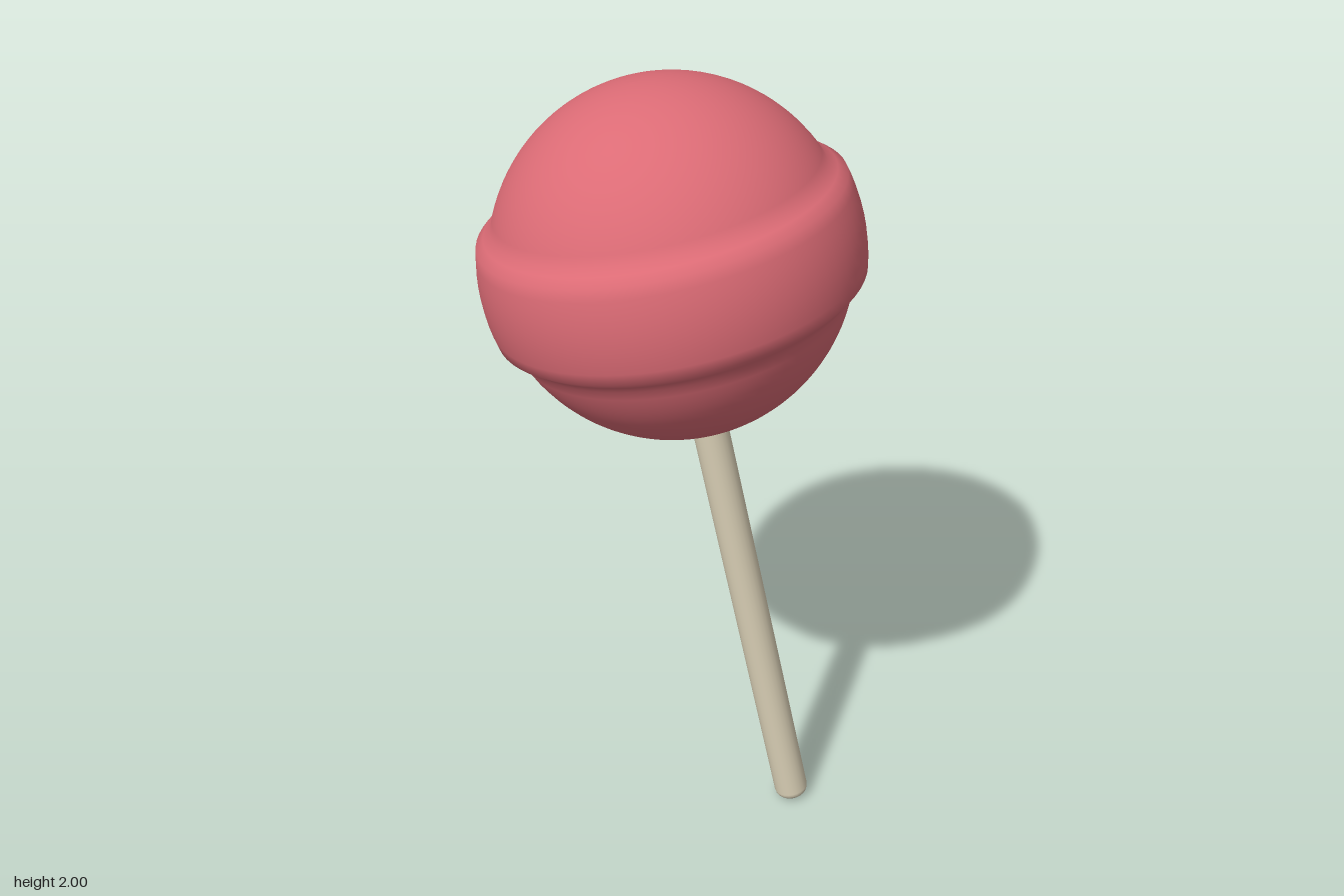
import * as THREE from 'three';

const candyRed = new THREE.MeshStandardMaterial({ color: 0xdb6b75 });
candyRed.name = 'candy red';
const paperCream = new THREE.MeshStandardMaterial({ color: 0xdad0b6 });
paperCream.name = 'paper cream';

const R = 0.421, BAND_R = 0.449; // ball and raised band radii

// points on an arc about the candy centre, between two elevation angles
function arc(radius, from, to, steps) {
  const pts = [];
  for (let i = 0; i <= steps; i++) {
    const a = from + (to - from) * i / steps;
    pts.push(new THREE.Vector2(Math.max(0, radius * Math.cos(a)), radius * Math.sin(a)));
  }
  return pts;
}

export function createModel() {
  const model = new THREE.Group();
  model.name = 'lollipop';

  // everything leans together around the candy centre
  const lean = new THREE.Group();
  lean.name = 'leaningLollipop';
  lean.position.y = 1.579;
  lean.rotation.z = THREE.MathUtils.degToRad(12);
  model.add(lean);

  // ball with a raised band, as one smooth turned profile
  const profile = [
    ...arc(R, -Math.PI / 2, Math.asin(-0.132 / R), 20),
    new THREE.Vector2(0.416, -0.113),
    ...arc(BAND_R, Math.asin(-0.094 / BAND_R), Math.asin(0.13 / BAND_R), 8),
    new THREE.Vector2(0.409, 0.147),
    ...arc(R, Math.asin(0.16 / R), Math.PI / 2, 20),
  ];
  const candy = new THREE.Mesh(new THREE.LatheGeometry(profile, 72), candyRed);
  candy.name = 'candy';
  lean.add(candy);

  // stick with a rounded foot, its top buried in the candy
  const r = 0.044, b = 0.024, foot = -1.608;
  const stickProfile = [new THREE.Vector2(0, foot)];
  for (let i = 0; i <= 5; i++) {
    const a = (i / 5) * Math.PI / 2;
    stickProfile.push(new THREE.Vector2(r - b + b * Math.sin(a), foot + b - b * Math.cos(a)));
  }
  stickProfile.push(new THREE.Vector2(r, -0.35));
  const stick = new THREE.Mesh(new THREE.LatheGeometry(stickProfile, 24), paperCream);
  stick.name = 'stick';
  lean.add(stick);

  return model;
}
